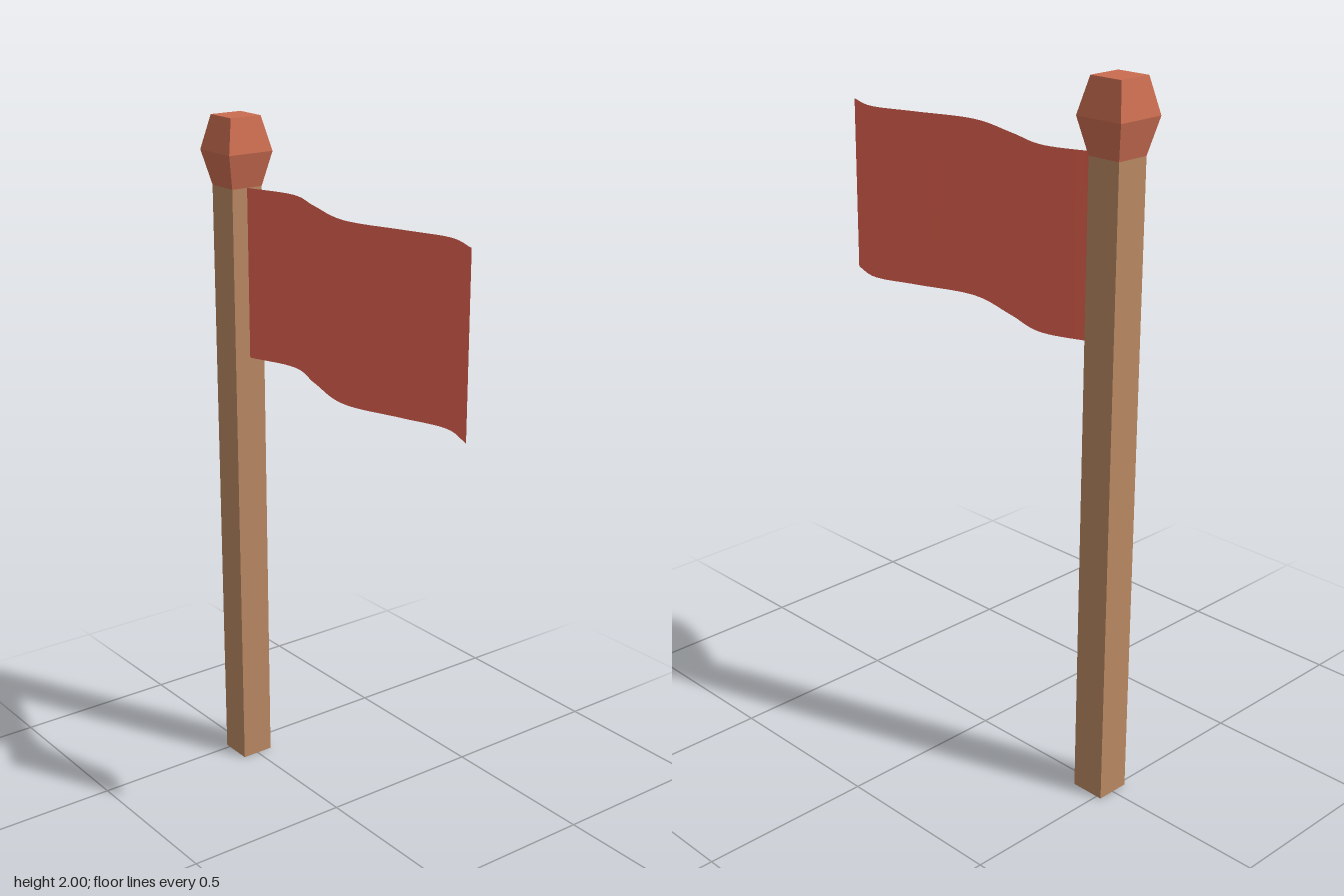
import * as THREE from 'three';

const POLE_X = -0.465;
const POLE_HALF = 0.05;

// Square tapered block, given half widths at bottom and top
function squareBlock(bottomHalf, topHalf, y0, y1, openEnded = false) {
  const g = new THREE.CylinderGeometry(topHalf * Math.SQRT2, bottomHalf * Math.SQRT2, y1 - y0, 4, 1, openEnded);
  g.rotateY(Math.PI / 4);
  g.translate(POLE_X, (y0 + y1) / 2, 0);
  return g;
}

// Thin sheet following a wavy line seen from above
function wavyCloth(y0, y1) {
  const curve = new THREE.CatmullRomCurve3([
    [-0.415, 0], [-0.255, -0.045], [-0.1, 0], [0.1, 0.05],
    [0.285, 0], [0.42, -0.036], [0.535, 0],
  ].map(([x, z]) => new THREE.Vector3(x, 0, z)));
  const g = new THREE.PlaneGeometry(1, y1 - y0, 48, 1);
  const pos = g.attributes.position;
  const p = new THREE.Vector3();
  for (let i = 0; i < pos.count; i++) {
    curve.getPointAt(THREE.MathUtils.clamp(pos.getX(i) + 0.5, 0, 1), p);
    pos.setXYZ(i, p.x, pos.getY(i) + (y0 + y1) / 2, p.z);
  }
  g.computeVertexNormals();
  return g;
}

export function createModel() {
  const model = new THREE.Group();
  model.name = 'flagOnPole';

  const wood = new THREE.MeshStandardMaterial({ color: 0xb98862, flatShading: true });
  const capMaterial = new THREE.MeshStandardMaterial({ color: 0xc96c50, flatShading: true });
  const cloth = new THREE.MeshStandardMaterial({ color: 0xe5624f, side: THREE.DoubleSide });

  const add = (name, geometry, material, parent = model) => {
    const mesh = new THREE.Mesh(geometry, material);
    mesh.name = name;
    parent.add(mesh);
  };

  // Square pole
  add('pole', squareBlock(POLE_HALF, POLE_HALF, 0, 1.803), wood);

  // Faceted finial: flares out to a waist, then tapers in
  const finial = new THREE.Group();
  finial.name = 'finial';
  add('finialLower', squareBlock(POLE_HALF, 0.073, 1.803, 1.902, true), capMaterial, finial);
  const upper = squareBlock(0.073, POLE_HALF, 1.902, 2);
  add('finialUpper', upper, capMaterial, finial);
  model.add(finial);

  // Waving flag
  add('flag', wavyCloth(1.308, 1.803), cloth);

  return model;
}
